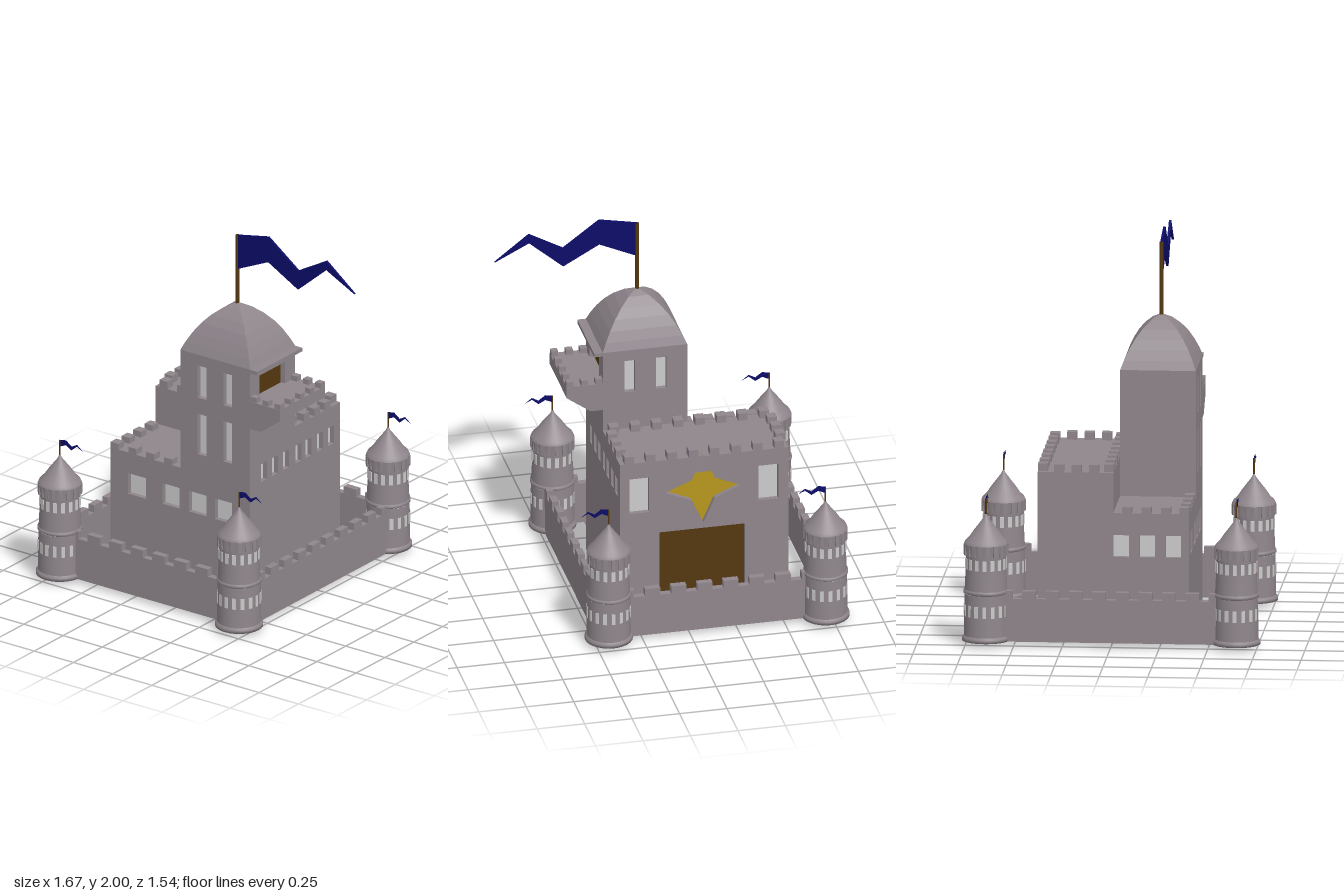
import * as THREE from 'three';

const mat = (color, extra = {}) => new THREE.MeshStandardMaterial({ color, ...extra });
const stone = mat(0x8f868c, { flatShading: true });
const smoothStone = mat(0x8f868c);
const glass = mat(0xcccccc);
const wood = mat(0x553810);
const gold = mat(0xb8961e);
const cloth = mat(0x0c0c6a, { side: THREE.DoubleSide });

function add(parent, name, geo, material, x = 0, y = 0, z = 0) {
  const m = new THREE.Mesh(geo, material);
  m.name = name;
  m.position.set(x, y, z);
  parent.add(m);
  return m;
}

// Box given by its limits
function span(parent, name, material, x0, x1, y0, y1, z0, z1) {
  return add(parent, name, new THREE.BoxGeometry(x1 - x0, y1 - y0, z1 - z0), material,
    (x0 + x1) / 2, (y0 + y1) / 2, (z0 + z1) / 2);
}

const poly = (pts) => new THREE.Shape(pts.map(([x, y]) => new THREE.Vector2(x, y)));
const rect = (x0, x1, y0, y1) => [[x0, y0], [x1, y0], [x1, y1], [x0, y1]];
const extrude = (shape, depth) => new THREE.ExtrudeGeometry(shape, { depth, bevelEnabled: false });

// Outer wall panel with recessed openings; u runs to the viewer's right of that face
const DEPTH = 0.03;
function panel(parent, u0, u1, y0, y1, openings, angle, dist) {
  const g = new THREE.Group();
  g.name = 'wallPanel';
  const wall = poly(rect(u0, u1, y0, y1));
  for (const o of openings) {
    wall.holes.push(poly(o.pts));
    add(g, o.name, extrude(poly(o.pts), 0.004), o.material, 0, 0, dist - DEPTH);
  }
  add(g, 'wall', extrude(wall, DEPTH), stone, 0, 0, dist - DEPTH);
  g.rotation.y = angle;
  parent.add(g);
}
const win = (u0, u1, y0, y1) => ({ name: 'window', pts: rect(u0, u1, y0, y1), material: glass });

// Masonry block; faces that have openings get a panel over an inset core
function block(parent, name, [x0, x1, y0, y1, z0, z1], { front, back, left, right }) {
  const g = new THREE.Group();
  g.name = name;
  const d = (f) => (f ? DEPTH : 0);
  span(g, 'core', stone, x0 + d(left), x1 - d(right), y0, y1, z0 + d(back), z1 - d(front));
  if (front) panel(g, x0, x1, y0, y1, front, 0, z1);
  if (back) panel(g, -x1, -x0, y0, y1, back, Math.PI, -z0);
  if (right) panel(g, -z1, -z0, y0, y1, right, Math.PI / 2, x1);
  if (left) panel(g, z0, z1, y0, y1, left, -Math.PI / 2, -x0);
  parent.add(g);
}

// Row of merlons between two points
function merlons(parent, xa, za, xb, zb, count, y, h, size = 0.05) {
  for (let i = 0; i < count; i++) {
    const t = count > 1 ? i / (count - 1) : 0;
    add(parent, 'merlon', new THREE.BoxGeometry(size, h, size), stone,
      xa + (xb - xa) * t, y + h / 2, za + (zb - za) * t);
  }
}

// Zigzag pennant on a pole, pole foot at the group's origin
function pennant(parent, name, x, y, z, poleH, poleR, s) {
  const g = new THREE.Group();
  g.name = name;
  g.position.set(x, y, z);
  add(g, 'pole', new THREE.CylinderGeometry(poleR, poleR, poleH, 8), wood, 0, poleH / 2, 0);
  const shape = poly([[0, 0], [0.2, 0.04], [0.39, -0.10], [0.57, 0], [0.75, -0.14],
    [0.57, -0.05], [0.39, -0.205], [0.2, -0.10], [0, -0.19]].map(([a, b]) => [a * s, b * s]));
  add(g, 'flag', extrude(shape, 0.012 * s), cloth, 0, poleH, -0.006 * s);
  parent.add(g);
}

// Crenellated curtain wall, running along x before rotation
function curtainWall(parent, length, n, x, z, angle) {
  const pts = [[-length / 2, 0.025], [length / 2, 0.025]];
  const p = length / n;
  for (let i = n - 1; i >= 0; i--) {
    const a = -length / 2 + i * p;
    pts.push([a + p, 0.25], [a + p * 0.79, 0.25], [a + p * 0.79, 0.29], [a + p * 0.21, 0.29], [a + p * 0.21, 0.25], [a, 0.25]);
  }
  const geo = extrude(poly(pts), 0.036);
  geo.translate(0, 0, -0.018);
  add(parent, 'curtainWall', geo, stone, x, 0, z).rotation.y = angle;
}

// Round corner tower with pointed roof
function cornerTower(parent, x, z) {
  const g = new THREE.Group();
  g.name = 'cornerTower';
  g.position.set(x, 0, z);
  const lathe = (name, pts) => {
    const geo = new THREE.LatheGeometry(pts.map(([r, y]) => new THREE.Vector2(r, y)), 28);
    add(g, name, geo, smoothStone);
  };
  lathe('foot', [[0, 0.025], [0.124, 0.025], [0.124, 0.042], [0.114, 0.052]]);
  lathe('shaft', [[0.114, 0.05], [0.111, 0.27]]);
  lathe('band', [[0.108, 0.27], [0.116, 0.275], [0.116, 0.288], [0.108, 0.293]]);
  lathe('upperShaft', [[0.11, 0.29], [0.105, 0.39], [0.104, 0.46], [0.113, 0.53]]);
  lathe('roof', [[0.113, 0.53], [0.106, 0.546], [0.085, 0.566], [0.062, 0.6], [0.035, 0.635], [0.012, 0.665], [0, 0.69]]);
  const ring = (name, n, r, y, w, h, material) => {
    for (let i = 0; i < n; i++) {
      const a = (i / n) * Math.PI * 2;
      add(g, name, new THREE.BoxGeometry(w, h, 0.01), material,
        Math.sin(a) * r, y, Math.cos(a) * r).rotation.y = a;
    }
  };
  ring('lowerSlit', 16, 0.109, 0.185, 0.02, 0.06, glass);
  ring('upperSlit', 16, 0.102, 0.428, 0.02, 0.055, glass);
  ring('corbel', 18, 0.109, 0.5, 0.02, 0.055, stone);
  pennant(g, 'towerPennant', 0, 0.67, 0, 0.095, 0.004, 0.19);
  parent.add(g);
}

export function createModel() {
  const root = new THREE.Group();
  root.name = 'castle';
  const keep = new THREE.Group();
  keep.name = 'keep';
  root.add(keep);
  const X0 = -0.58, X1 = 0.31, XT = -0.135, Z = 0.39;

  // Side windows shared by the tower and the rear hall
  const sideWins = (list) => list.map((z) => win(-z - 0.025, -z + 0.025, 0.67, 0.77));

  // Low front hall
  block(keep, 'frontHall', [X0, XT, 0, 0.67, 0, Z], {
    front: [win(-0.47, -0.355, 0.44, 0.555), win(-0.25, -0.14, 0.44, 0.555)],
    left: [0.04, 0.175, 0.31].map((z) => win(z - 0.04, z + 0.04, 0.44, 0.555)),
  });
  merlons(keep, X0 + 0.025, Z - 0.025, -0.215, Z - 0.025, 4, 0.67, 0.032);
  merlons(keep, X0 + 0.025, 0.07, X0 + 0.025, 0.27, 3, 0.67, 0.032);

  // Main tower
  const slits = [[-0.025, 0.03], [0.14, 0.195]];
  block(keep, 'mainTower', [XT, X1, 0, 1.33, 0, Z], {
    front: [win(-0.08, 0.03, 0.44, 0.555), win(0.085, 0.195, 0.44, 0.555),
      ...slits.flatMap(([a, b]) => [win(a, b, 0.775, 1.0), win(a, b, 1.09, 1.27)])],
    back: slits.map(([a, b]) => win(-b, -a, 1.09, 1.27)),
    right: [...sideWins([0.27, 0.175, 0.08]),
      { name: 'balconyDoor', pts: rect(-0.31, -0.09, 1.15, 1.27), material: wood }],
  });

  // Star, gate and windows on the rear hall (u = -x there)
  const star = [];
  for (let i = 0; i < 8; i++) {
    const a = (i * Math.PI) / 4, r = i % 2 ? 0.085 : 0.2;
    star.push([0.13 + Math.cos(a) * r, 0.69 + Math.sin(a) * r * 0.98]);
  }
  block(keep, 'rearHall', [X0, X1, 0, 0.88, -Z, 0], {
    right: sideWins([-0.029, -0.115, -0.215, -0.31]),
    back: [win(-0.26, -0.155, 0.59, 0.79), win(0.42, 0.525, 0.59, 0.79),
      { name: 'starEmblem', pts: star, material: gold },
      { name: 'gate', pts: rect(-0.1, 0.35, 0.03, 0.465), material: wood }],
  });
  for (const z of [-Z + 0.025, -0.025]) merlons(keep, X0 + 0.05, z, X1 - 0.05, z, 8, 0.88, 0.04);
  for (const x of [X0 + 0.025, X1 - 0.025]) merlons(keep, x, -0.28, x, -0.1, 3, 0.88, 0.04);

  // Curved four-sided roof
  const curve = [[1, 1.33], [0.91, 1.375], [0.79, 1.425], [0.64, 1.475], [0.46, 1.52], [0.24, 1.56], [0, 1.587]];
  const dome = new THREE.LatheGeometry(
    curve.map(([r, y]) => new THREE.Vector2(r * Math.SQRT2, y)), 4, Math.PI / 4);
  dome.scale(0.2225, 1, 0.195);
  add(keep, 'towerRoof', dome, stone, 0.0875, 0, 0.195);
  pennant(keep, 'greatPennant', 0.085, 1.57, 0.195, 0.39, 0.011, 1);

  // Balcony with sloped underside, parapet and canopy
  const profile = poly([[0.31, 1.0], [0.375, 1.0], [0.5, 1.09], [0.5, 1.152], [0.31, 1.152]]);
  add(keep, 'balcony', extrude(profile, Z), stone);
  merlons(keep, 0.482, 0.02, 0.482, Z - 0.02, 5, 1.152, 0.028, 0.036);
  for (const z of [0.02, Z - 0.02]) merlons(keep, 0.33, z, 0.405, z, 2, 1.152, 0.028, 0.036);
  span(keep, 'canopy', stone, X1, 0.355, 1.31, 1.33, 0, Z);

  // Curtain walls and corner towers
  const outer = new THREE.Group();
  outer.name = 'outerWard';
  root.add(outer);
  for (const s of [-1, 1]) curtainWall(outer, 1.1, 8, -0.145, s * 0.643, 0);
  for (const x of [-0.743, 0.471]) curtainWall(outer, 1.2, 10, x, 0, Math.PI / 2);
  for (const x of [-0.715, 0.427]) for (const z of [-0.645, 0.645]) cornerTower(outer, x, z);
  return root;
}
